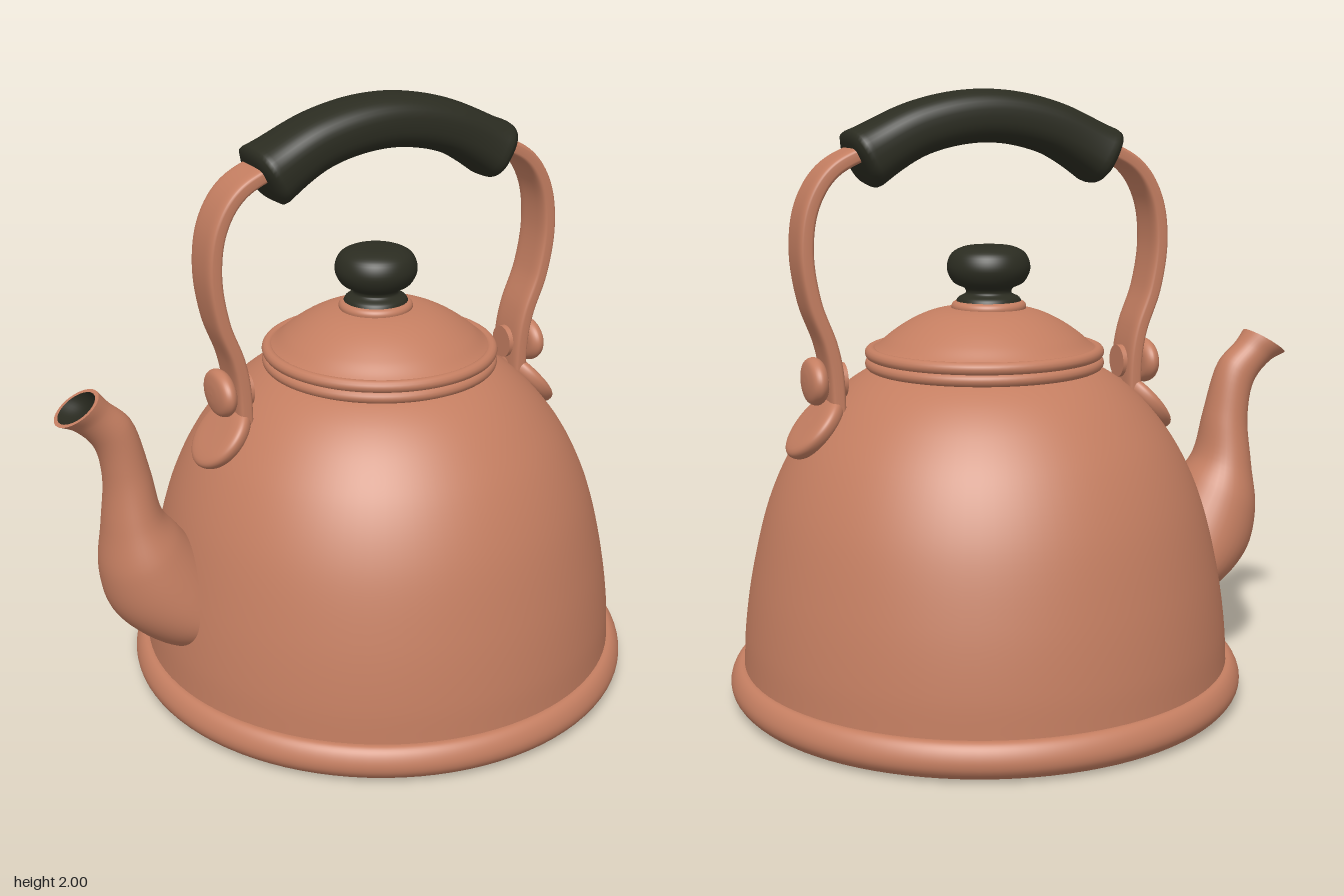
import * as THREE from 'three';

const CX = 0.135; // axis of the pot body
const copper = new THREE.MeshStandardMaterial({ color: 0xc47e61 });
copper.name = 'copper';
const dark = new THREE.MeshStandardMaterial({ color: 0x2b2c21 });
dark.name = 'dark grip';

function add(group, name, geometry, material) {
  const mesh = new THREE.Mesh(geometry, material);
  mesh.name = name;
  group.add(mesh);
  return mesh;
}

// Smooth curve through a few [x, y, w] points
function smooth(points, n) {
  const curve = new THREE.CatmullRomCurve3(points.map(([x, y, w = 0]) => new THREE.Vector3(x, y, w)), false, 'centripetal');
  return curve.getPoints(n);
}

// Turned part from a smoothed profile, listed from the bottom up
function turned(points, n = 40) {
  return new THREE.LatheGeometry(smooth(points, n).map(p => new THREE.Vector2(Math.max(p.x, 0), p.y)), 96);
}

// Skin over closed cross-sections: centre (x, y), in-plane half axis (hx, hy),
// half depth b along z; power below 1 squares the section off
function loft(rings, power = 1, sides = 40) {
  const pos = [], index = [];
  const sq = v => Math.sign(v) * Math.abs(v) ** power;
  rings.forEach(r => {
    for (let j = 0; j < sides; j++) {
      const a = j / sides * Math.PI * 2, c = sq(Math.cos(a)), s = sq(Math.sin(a));
      pos.push(r.x + r.hx * c, r.y + r.hy * c, r.b * s);
    }
  });
  for (let i = 0; i < rings.length - 1; i++) {
    for (let j = 0; j < sides; j++) {
      const k = (j + 1) % sides, a = i * sides, b = a + sides;
      index.push(a + j, a + k, b + j, a + k, b + k, b + j);
    }
  }
  const g = new THREE.BufferGeometry();
  g.setAttribute('position', new THREE.Float32BufferAttribute(pos, 3));
  g.setIndex(index);
  g.computeVertexNormals();
  return g;
}

// Cross-sections square to a path in the xy plane; size(t) gives [half thickness, half depth]
function sweep(points, n, size) {
  const pts = smooth(points, n);
  return pts.map((p, i) => {
    const a = pts[Math.max(i - 1, 0)], b = pts[Math.min(i + 1, n)];
    const d = b.clone().sub(a).normalize(), [h, w] = size(i / n);
    return { x: p.x, y: p.y, hx: -d.y * h, hy: d.x * h, b: w };
  });
}

function buildBody() {
  const g = new THREE.Group();
  g.name = 'body';
  g.position.x = CX;
  add(g, 'shell', turned([[0.808, 0.11], [0.8, 0.25], [0.77, 0.45], [0.71, 0.68], [0.63, 0.85],
    [0.54, 0.97], [0.46, 1.045], [0.39, 1.09], [0.34, 1.11]], 60), copper);
  add(g, 'baseRim', turned([[0.775, 0.005], [0.82, 0.015], [0.848, 0.045], [0.853, 0.075],
    [0.84, 0.11], [0.82, 0.128], [0.795, 0.128]], 30), copper);
  const bottom = add(g, 'bottom', new THREE.CircleGeometry(0.78, 96), copper);
  bottom.rotation.x = Math.PI / 2;
  bottom.position.y = 0.005;
  return g;
}

function buildLid() {
  const g = new THREE.Group();
  g.name = 'lid';
  g.position.x = CX;
  // Two stacked beads around the lid edge
  [[0.372, 1.118], [0.372, 1.154]].forEach(([r, y]) => {
    const bead = add(g, 'lidBead', new THREE.TorusGeometry(r, 0.02, 14, 96), copper);
    bead.rotation.x = Math.PI / 2;
    bead.position.y = y;
  });
  add(g, 'lidDome', turned([[0.375, 1.16], [0.35, 1.178], [0.31, 1.212], [0.25, 1.252], [0.19, 1.28],
    [0.13, 1.295], [0, 1.302]]), copper);
  const knob = new THREE.Group();
  knob.name = 'knob';
  knob.position.x = -0.015;
  add(knob, 'knobSeat', turned([[0.12, 1.285], [0.122, 1.305], [0.11, 1.318], [0, 1.32]], 16), copper);
  add(knob, 'knobGrip', turned([[0.108, 1.315], [0.1, 1.33], [0.075, 1.345], [0.078, 1.36], [0.115, 1.38],
    [0.136, 1.425], [0.122, 1.472], [0.085, 1.494], [0.04, 1.5], [0, 1.5]]), dark);
  g.add(knob);
  return g;
}

function buildSpout() {
  const g = new THREE.Group();
  g.name = 'spout';
  // Outer edge x, y; inner edge x, y; half depth, from the root to the lip
  const sections = [
    [-0.60, 0.22, -0.40, 0.46, 0.19], [-0.735, 0.295, -0.47, 0.46, 0.2], [-0.84, 0.405, -0.52, 0.54, 0.19],
    [-0.872, 0.54, -0.61, 0.665, 0.162], [-0.858, 0.70, -0.665, 0.74, 0.122], [-0.847, 0.87, -0.697, 0.885, 0.086],
    [-0.872, 0.985, -0.75, 1.06, 0.07], [-0.935, 1.055, -0.818, 1.128, 0.068], [-0.99, 1.082, -0.852, 1.17, 0.084]];
  const n = 48;
  const outer = smooth(sections.map(s => [s[0], s[1], s[4]]), n);
  const inner = smooth(sections.map(s => [s[2], s[3], 0]), n);
  const ring = (i, k = 1) => {
    const p = outer[i], q = inner[i];
    return { x: (p.x + q.x) / 2, y: (p.y + q.y) / 2, hx: (p.x - q.x) / 2 * k, hy: (p.y - q.y) / 2 * k, b: p.z * k };
  };
  const rings = outer.map((_, i) => ring(i));
  add(g, 'spoutTube', loft(rings), copper);
  add(g, 'spoutLip', loft([ring(n), ring(n, 0.84)]), copper);
  // Dark inside of the tube, closed further down
  const bore = [];
  for (let i = n; i > n - 16; i--) bore.push(ring(i, 0.84));
  bore.push(ring(n - 15, 0.001));
  add(g, 'spoutBore', loft(bore), dark);
  return g;
}

function buildHandle() {
  const g = new THREE.Group();
  g.name = 'handle';
  g.position.x = CX;
  // One flat strap from side to side, running through the grip
  const half = [[0.515, 0.95], [0.522, 1.12], [0.54, 1.21], [0.587, 1.34], [0.61, 1.5], [0.59, 1.64],
    [0.53, 1.74], [0.43, 1.8]];
  const path = [...half.map(([x, y]) => [-x, y]), [0, 1.91], ...half.slice().reverse()];
  add(g, 'strap', loft(sweep(path, 140, () => [0.026, 0.08]), 0.45), copper);

  // Thick grip, flared at both rounded ends
  const grip = sweep([[-0.43, 1.772], [-0.22, 1.878], [0, 1.915], [0.22, 1.878], [0.43, 1.772]], 60, t => {
    const d = Math.abs(2 * t - 1), flare = d ** 5;
    const end = Math.sqrt(Math.max(0, 1 - Math.max(0, (d - 0.93) / 0.07) ** 2));
    const k = 0.7 + 0.3 * end;
    return [(0.085 + 0.018 * flare) * k, (0.113 + 0.022 * flare) * k];
  });
  const cap = r => ({ ...r, hx: r.hx * 0.001, hy: r.hy * 0.001, b: 0.0001 });
  add(g, 'grip', loft([cap(grip[0]), ...grip, cap(grip[60])], 0.75), dark);

  // Mounting plate and rivet on each side
  [-1, 1].forEach(s => {
    const plate = add(g, 'mountPlate', turned([[0, -0.03], [0.11, -0.03], [0.125, -0.005], [0.122, 0.01],
      [0.105, 0.02], [0, 0.024]], 24), copper);
    plate.position.set(s * 0.582, 0.95, 0);
    plate.rotation.z = -s * 0.86;
    const rivet = add(g, 'rivet', turned([[0, -0.01], [0.08, -0.01], [0.1, 0.012], [0.09, 0.034],
      [0.05, 0.045], [0, 0.048]], 24), copper);
    rivet.position.set(s * 0.562, 1.09, 0);
    rivet.rotation.z = -s * Math.PI / 2;
    rivet.scale.x = 0.76;
    const washer = add(g, 'rivetPin', new THREE.CylinderGeometry(0.055, 0.055, 0.1, 32), copper);
    washer.position.set(s * 0.53, 1.09, 0);
    washer.rotation.z = Math.PI / 2;
  });
  return g;
}

export function createModel() {
  const model = new THREE.Group();
  model.name = 'kettle';
  model.add(buildBody(), buildLid(), buildSpout(), buildHandle());
  return model;
}
